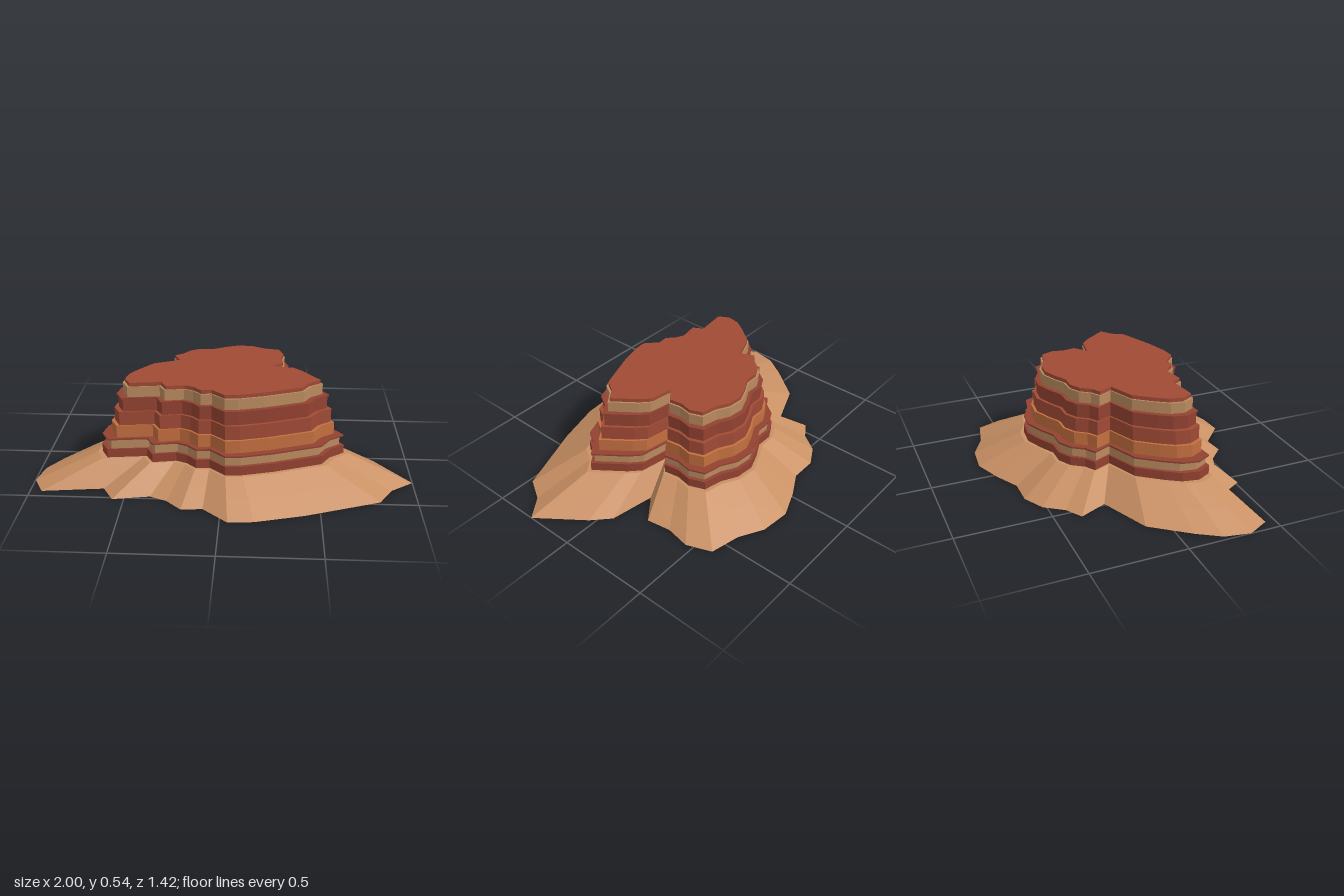
import * as THREE from 'three';

// Ground outline as x, z pairs; every stratum is this outline shrunk towards CENTRE
const OUTLINE = [
  [1.0, 0.27], [0.88, 0.36], [0.81, 0.48], [0.42, 0.63], [0.17, 0.7], [0.04, 0.71],
  [-0.09, 0.59], [-0.2, 0.6], [-0.28, 0.52], [-0.37, 0.48], [-0.56, 0.515], [-0.62, 0.41],
  [-0.94, 0.45], [-1.0, 0.335], [-0.975, 0.2], [-0.9, 0.08], [-0.755, -0.11], [-0.49, -0.22],
  [-0.555, -0.365], [-0.47, -0.42], [-0.4, -0.52], [-0.29, -0.58], [-0.15, -0.58], [-0.02, -0.65],
  [0.13, -0.71], [0.29, -0.695], [0.42, -0.625], [0.58, -0.59], [0.63, -0.46], [0.605, -0.33],
  [0.625, -0.2], [0.49, -0.095], [0.73, -0.055], [0.82, 0.03],
];
const CENTRE = [-0.02, 0.045];

const mat = (name, color) => {
  const m = new THREE.MeshStandardMaterial({ color });
  m.name = name;
  return m;
};

// Slab between two heights; scaleAt(t) gives the outline scale from bottom (0) to top (1)
function slab(y0, y1, steps, scaleAt) {
  const shape = new THREE.Shape(OUTLINE.map(([x, z]) =>
    new THREE.Vector2(x - CENTRE[0], -(z - CENTRE[1]))));
  const geo = new THREE.ExtrudeGeometry(shape, { depth: y1 - y0, steps, bevelEnabled: false });
  geo.rotateX(-Math.PI / 2);
  const p = geo.attributes.position;
  for (let i = 0; i < p.count; i++) {
    const y = p.getY(i);
    const s = scaleAt(y / (y1 - y0));
    p.setXYZ(i, CENTRE[0] + p.getX(i) * s, y0 + y, CENTRE[1] + p.getZ(i) * s);
  }
  geo.computeVertexNormals();
  return geo;
}

export function createModel() {
  const group = new THREE.Group();
  group.name = 'mesa';

  const sand = mat('sand', 0xc99064);
  const red = mat('red rock', 0xa04a35);
  const darkRed = mat('dark red rock', 0x934231);
  const orange = mat('orange rock', 0xc46f3f);
  const tan = mat('tan rock', 0xba8a5f);

  const add = (name, geo, material) => {
    const mesh = new THREE.Mesh(geo, material);
    mesh.name = name;
    group.add(mesh);
  };

  // Sloping skirt of loose debris
  add('talusSlope', slab(0, 0.13, 2, (t) => 1 - 0.33 * t), sand);

  // Cliff strata: name, bottom, top, outline scale, material
  const strata = [
    ['footBand', 0.13, 0.178, 0.643, darkRed],
    ['lowerTanBand', 0.178, 0.228, 0.618, tan],
    ['lowerLedge', 0.228, 0.237, 0.638, darkRed],
    ['orangeBand', 0.237, 0.305, 0.587, orange],
    ['middleRedBand', 0.305, 0.381, 0.569, red],
    ['upperRedBand', 0.381, 0.448, 0.546, darkRed],
    ['upperLedge', 0.448, 0.457, 0.554, darkRed],
    ['upperTanBand', 0.457, 0.515, 0.52, tan],
    ['capRock', 0.515, 0.535, 0.507, red],
  ];
  for (const [name, y0, y1, s, material] of strata) {
    add(name, slab(y0, y1, 1, () => s), material);
  }
  return group;
}
